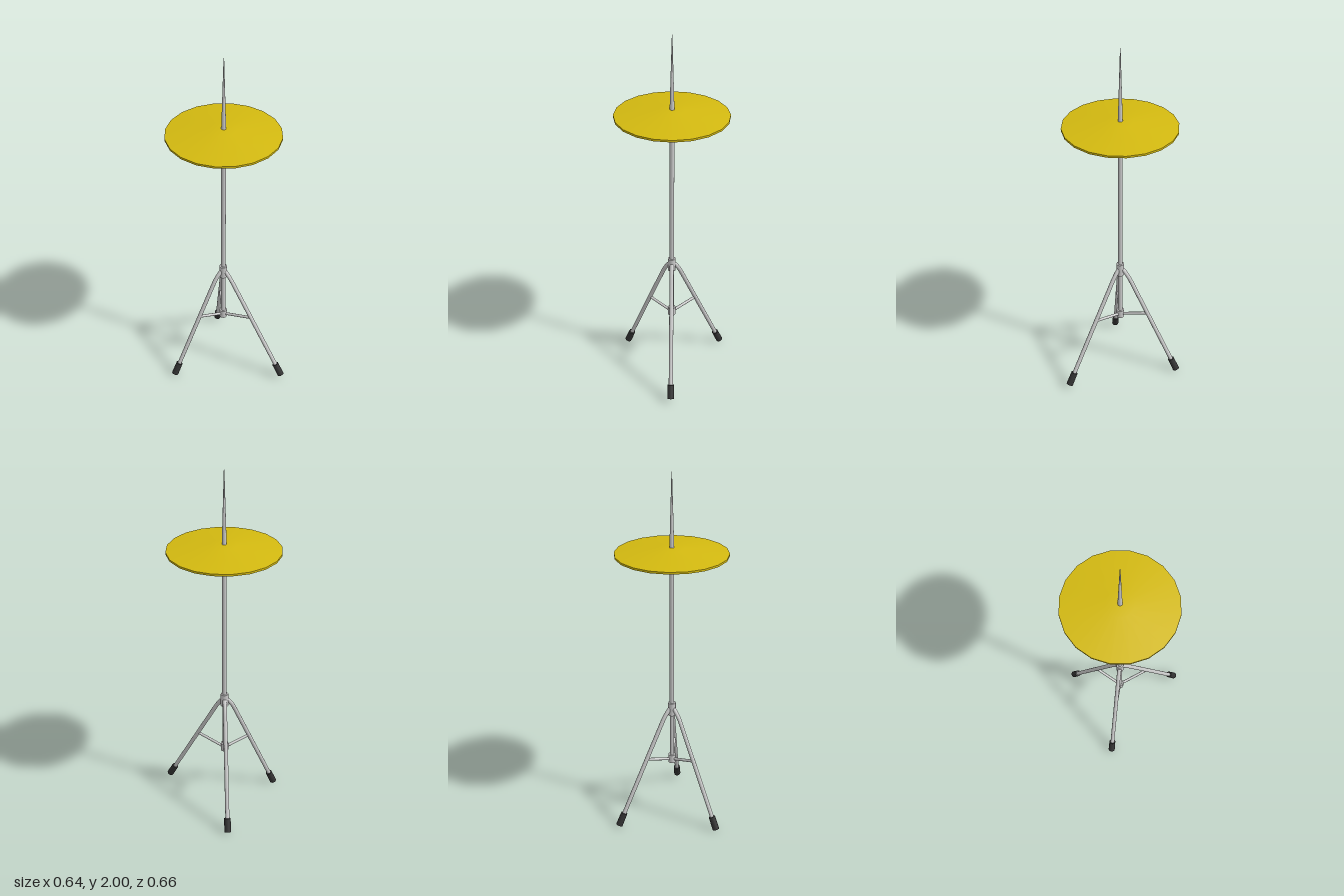
import * as THREE from 'three';
import { toCreasedNormals } from 'three/addons/utils/BufferGeometryUtils.js';

const AXIS_X = 0.02;
const metal = new THREE.MeshStandardMaterial({ color: 0xcccccc });
const brass = new THREE.MeshStandardMaterial({ color: 0xd4ba10 });
const rubber = new THREE.MeshStandardMaterial({ color: 0x333333 });

const V = (x, y, z) => new THREE.Vector3(x, y, z);

function add(parent, name, geometry, material) {
  const mesh = new THREE.Mesh(geometry, material);
  mesh.name = name;
  parent.add(mesh);
  return mesh;
}

// Capped cylinder running from a to b
function rod(parent, name, a, b, rA, rB, material, sides = 16) {
  const dir = b.clone().sub(a);
  const mesh = add(parent, name, new THREE.CylinderGeometry(rB, rA, dir.length(), sides), material);
  mesh.position.copy(a).add(b).multiplyScalar(0.5);
  mesh.quaternion.setFromUnitVectors(V(0, 1, 0), dir.normalize());
  return mesh;
}

export function createModel() {
  const model = new THREE.Group();
  model.name = 'cymbalStand';
  const stand = new THREE.Group();
  stand.name = 'stand';
  stand.position.x = AXIS_X;
  model.add(stand);

  // Central pole, collars and the tapering spike
  rod(stand, 'pole', V(0, 0.335, 0), V(0, 1.575, 0), 0.0125, 0.0125, metal);
  rod(stand, 'upperCollar', V(0, 0.63, 0), V(0, 0.705, 0), 0.021, 0.021, metal);
  rod(stand, 'lowerCollar', V(0, 0.33, 0), V(0, 0.378, 0), 0.021, 0.021, metal);
  rod(stand, 'spike', V(0, 1.57, 0), V(0, 2, 0), 0.0135, 0.0015, metal);

  // Shallow twenty-sided cymbal with a thin rim
  const profile = [
    [0, 1.534], [0.07, 1.536], [0.301, 1.563], [0.301, 1.574], [0.07, 1.601], [0, 1.604],
  ].map(([r, y]) => new THREE.Vector2(r, y));
  add(stand, 'cymbal', toCreasedNormals(new THREE.LatheGeometry(profile, 20), 0.6), brass);

  // Tripod legs: foot ends relative to the pole
  const feet = { right: V(-0.32, 0.008, 0), front: V(0.215, 0.025, 0.312), back: V(0.128, 0.01, -0.315) };
  for (const [side, foot] of Object.entries(feet)) {
    const leg = new THREE.Group();
    leg.name = side + 'Leg';
    stand.add(leg);

    const out = V(foot.x, 0, foot.z).normalize();
    const at = (r, y) => out.clone().multiplyScalar(r).setY(y);
    const knee = at(0.06, 0.6);
    const dir = knee.clone().sub(foot).normalize();
    const along = (d) => foot.clone().addScaledVector(dir, d);

    // Straight tube that curves into the upper collar
    const path = new THREE.CurvePath();
    path.add(new THREE.LineCurve3(along(0.03), knee));
    path.add(new THREE.QuadraticBezierCurve3(knee, knee.clone().addScaledVector(dir, 0.045), at(0.005, 0.68)));
    add(leg, side + 'LegTube', new THREE.TubeGeometry(path, 48, 0.0115, 12), metal);

    // Rubber foot
    rod(leg, side + 'Foot', foot, along(0.077), 0.019, 0.018, rubber);

    // Brace from the lower collar to the leg
    const brace = foot.clone().lerp(knee, (0.388 - foot.y) / (knee.y - foot.y));
    rod(leg, side + 'Brace', V(0, 0.348, 0), brace, 0.008, 0.008, metal, 12);
  }
  return model;
}
